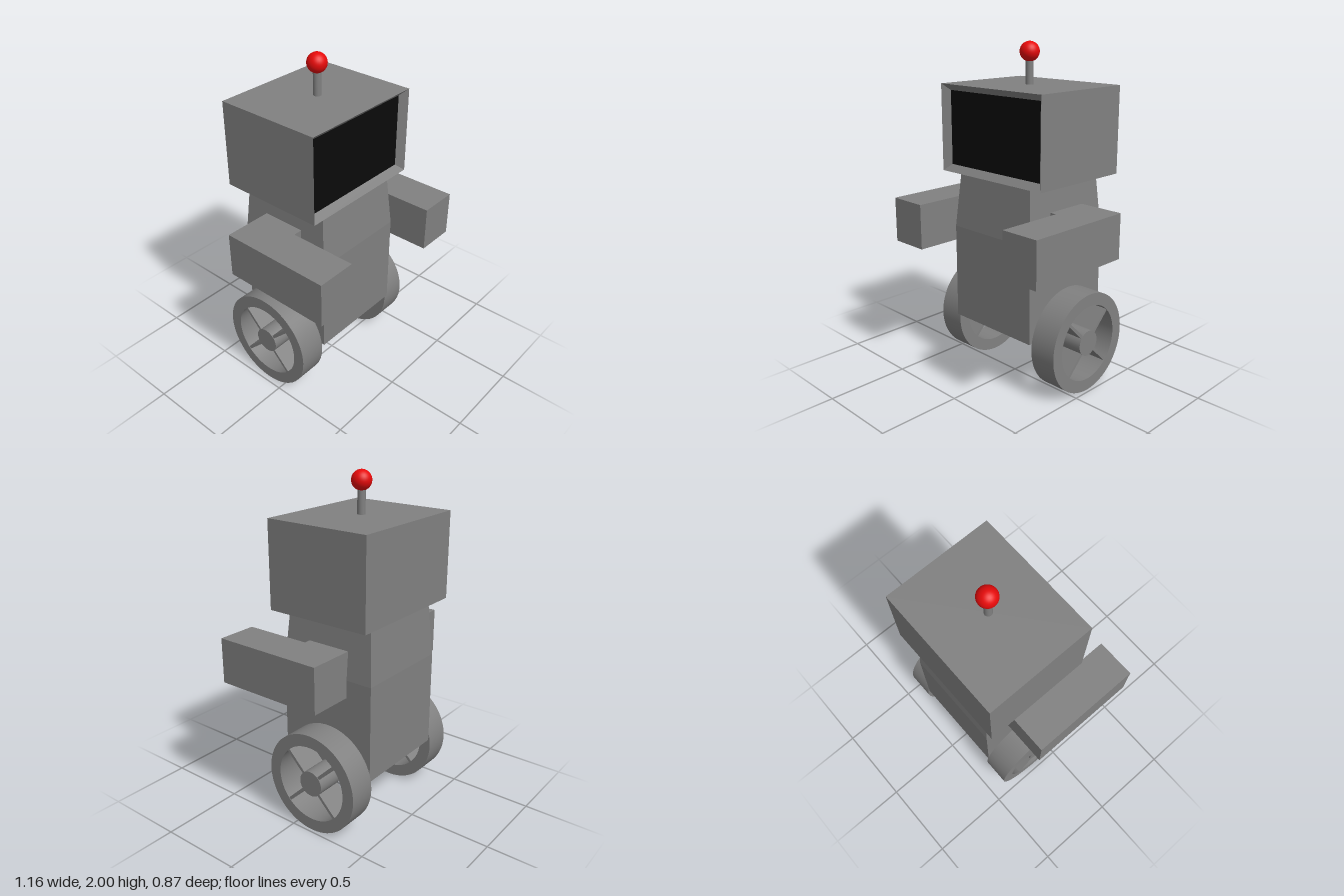
import * as THREE from 'three';
import { toCreasedNormals } from 'three/addons/utils/BufferGeometryUtils.js';

const mat = (name, color) => {
  const m = new THREE.MeshStandardMaterial({ color });
  m.name = name;
  return m;
};

// Flat-sided skin over four-cornered rings, with optional end caps.
function loft(rings, capEnd) {
  const pos = [];
  const quad = (a, b, c, d) => [a, b, c, a, c, d].forEach((p) => pos.push(...p));
  for (let r = 0; r < rings.length - 1; r++) {
    const a = rings[r], b = rings[r + 1];
    for (let i = 0; i < 4; i++) {
      const j = (i + 1) % 4;
      quad(a[i], a[j], b[j], b[i]);
    }
  }
  const s = rings[0], e = rings[rings.length - 1];
  quad(s[3], s[2], s[1], s[0]);
  if (capEnd) quad(e[0], e[1], e[2], e[3]);
  const geo = new THREE.BufferGeometry();
  geo.setAttribute('position', new THREE.Float32BufferAttribute(pos, 3));
  geo.computeVertexNormals();
  return geo;
}

// Rectangles facing +z and +y.
const ringZ = (x0, x1, y0, y1, z) => [[x0, y0, z], [x1, y0, z], [x1, y1, z], [x0, y1, z]];
const ringY = (x0, x1, z0, z1, y) => [[x1, y, z1], [x1, y, z0], [x0, y, z0], [x0, y, z1]];

export function createModel() {
  const grey = mat('bodyGrey', 0x808080);
  const black = mat('screenBlack', 0x0a0a0a);
  const red = mat('beaconRed', 0xe60a0a);
  const root = new THREE.Group();
  root.name = 'robot';
  const midX = 0.007, midZ = -0.115;

  const add = (parent, name, geo, material, x = 0, y = 0, z = 0) => {
    const m = new THREE.Mesh(geo, material);
    m.name = name;
    m.position.set(x, y, z);
    parent.add(m);
    return m;
  };

  // Torso, narrowing towards the neck
  add(root, 'torso', loft([
    ringY(-0.3, 0.313, -0.41, 0.2, 0.345),
    ringY(-0.3, 0.313, -0.41, 0.2, 0.92),
    ringY(-0.272, 0.285, -0.385, 0.173, 1.25),
  ], true), grey);

  // Head box with a bevelled recess around the screen
  add(root, 'head', loft([
    ringZ(-0.385, 0.4, 1.25, 1.76, -0.435),
    ringZ(-0.385, 0.4, 1.25, 1.76, 0.215),
    ringZ(-0.347, 0.36, 1.287, 1.722, 0.175),
  ], false), grey);
  add(root, 'screen', new THREE.PlaneGeometry(0.707, 0.435), black, 0.0065, 1.5045, 0.175);

  // Antenna
  add(root, 'antennaStem', new THREE.CylinderGeometry(0.023, 0.023, 0.2, 24), grey, midX, 1.84, -0.11);
  add(root, 'antennaBall', new THREE.SphereGeometry(0.057, 32, 20), red, midX, 1.943, -0.11);

  // Arms: forearm blocks joined to the torso by a short shoulder
  for (const side of [-1, 1]) {
    const arm = new THREE.Group();
    arm.name = side > 0 ? 'leftArm' : 'rightArm';
    root.add(arm);
    add(arm, 'forearm', new THREE.BoxGeometry(0.24, 0.27, 0.68), grey, side * 0.46, 0.95, 0.093);
    add(arm, 'shoulder', new THREE.BoxGeometry(0.1, 0.27, 0.27), grey, side * 0.29, 0.95, -0.112);
  }

  // Wheels: open rim, hub and four diagonal spokes
  const width = 0.167;
  const rimShape = new THREE.Shape().absarc(0, 0, 0.303, 0, Math.PI * 2);
  rimShape.holes.push(new THREE.Path().absarc(0, 0, 0.23, 0, Math.PI * 2, true));
  const rimGeo = toCreasedNormals(
    new THREE.ExtrudeGeometry(rimShape, { depth: width, bevelEnabled: false, curveSegments: 32 })
      .translate(0, 0, -width / 2), 0.6);
  const hubGeo = new THREE.CylinderGeometry(0.077, 0.077, width, 32).rotateX(Math.PI / 2);
  const spokeGeo = new THREE.BoxGeometry(0.18, 0.018, width - 0.006).translate(0.155, 0, 0);
  for (const side of [-1, 1]) {
    const wheel = new THREE.Group();
    wheel.name = side > 0 ? 'leftWheel' : 'rightWheel';
    wheel.position.set(midX + side * 0.39, 0.304, -0.12);
    wheel.rotation.y = side * Math.PI / 2;
    root.add(wheel);
    add(wheel, 'rim', rimGeo, grey);
    add(wheel, 'hub', hubGeo, grey);
    for (let i = 0; i < 4; i++) {
      add(wheel, 'spoke', spokeGeo, grey).rotation.z = Math.PI / 4 + i * Math.PI / 2;
    }
  }

  return root;
}
